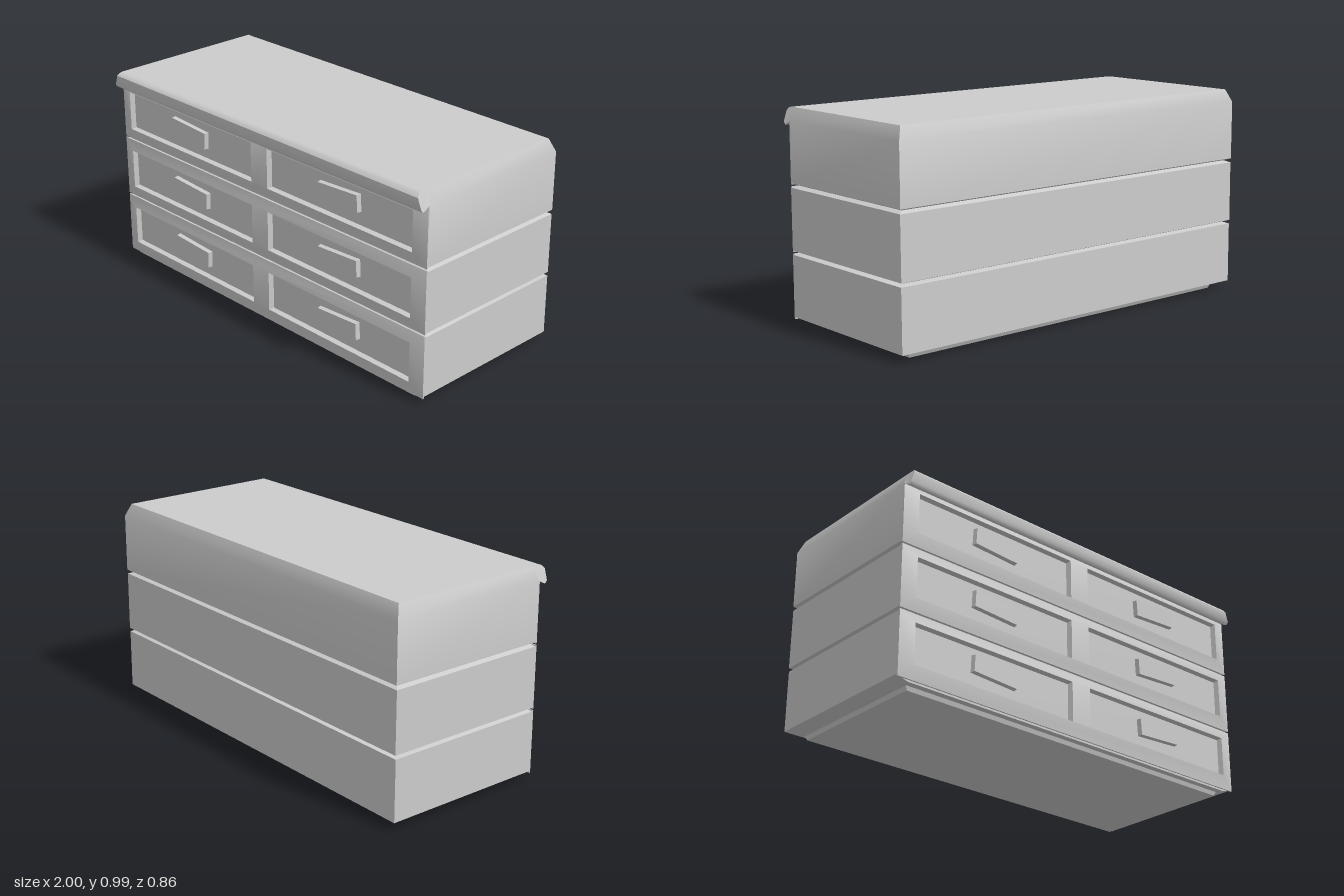
import * as THREE from 'three';
import { toCreasedNormals } from 'three/addons/utils/BufferGeometryUtils.js';

const grey = new THREE.MeshStandardMaterial({ color: 0xcccccc });
grey.name = 'grey';

const BODY_FRONT = 0.377; // plane of the drawer faces
const FRAME_FRONT = 0.4; // edge round each drawer opening
const RIM_FRONT = 0.384; // outer edge of each tier front

function addMesh(parent, name, geometry) {
  const mesh = new THREE.Mesh(geometry, grey);
  mesh.name = name;
  parent.add(mesh);
  return mesh;
}

// Closed stack of rectangular sections: [y, half width, front z, back z]
function loft(sections) {
  const positions = [];
  const rings = sections.map(([y, x, f, b]) => [[x, y, f], [x, y, b], [-x, y, b], [-x, y, f]]);
  const quad = (a, b, c, d) => positions.push(...a, ...b, ...c, ...a, ...c, ...d);
  for (let i = 0; i < rings.length - 1; i++) {
    for (let k = 0; k < 4; k++) {
      const n = (k + 1) % 4;
      quad(rings[i][k], rings[i][n], rings[i + 1][n], rings[i + 1][k]);
    }
  }
  quad(...rings[rings.length - 1]);
  quad(...rings[0].slice().reverse());
  const geometry = new THREE.BufferGeometry();
  geometry.setAttribute('position', new THREE.Float32BufferAttribute(positions, 3));
  return toCreasedNormals(geometry, 0.5);
}

// Apply a rule to every vertex
function reshape(geometry, rule) {
  const p = geometry.attributes.position;
  const v = new THREE.Vector3();
  for (let i = 0; i < p.count; i++) {
    v.fromBufferAttribute(p, i);
    rule(v);
    p.setXYZ(i, v.x, v.y, v.z);
  }
  geometry.computeVertexNormals();
  return geometry;
}

const points = (list) => list.map(([x, y]) => new THREE.Vector2(x, y));

// Tier front with two drawer openings, falling softly from the openings to its rim
function frameGeometry(y0, y1, drawerY) {
  const columns = [-1, -0.93, -0.053, 0.053, 0.93, 1];
  const shape = new THREE.Shape(points([
    ...columns.map((x) => [x, y0]),
    ...columns.slice().reverse().map((x) => [x, y1]),
  ]));
  const top = drawerY + 0.19;
  for (const x of [-0.93, 0.053]) {
    shape.holes.push(new THREE.Path(points([
      [x, drawerY], [x, top], [x + 0.877, top], [x + 0.877, drawerY],
    ])));
  }
  const depth = FRAME_FRONT - BODY_FRONT;
  const geometry = new THREE.ExtrudeGeometry(shape, { depth, bevelEnabled: false });
  reshape(geometry, (v) => {
    const onRim = Math.abs(v.x) > 0.99 || v.y < drawerY - 0.01 || v.y > top + 0.01;
    const atFront = v.z > depth / 2;
    if (onRim && atFront) v.z = RIM_FRONT - BODY_FRONT;
    // Opening walls taper slightly inward
    if (!onRim && !atFront) {
      v.x += 0.008 * Math.sign(Math.sign(v.x) * 0.4915 - v.x);
      v.y += 0.006 * Math.sign(drawerY + 0.095 - v.y);
    }
  });
  return toCreasedNormals(geometry.translate(0, 0, BODY_FRONT), 0.8);
}

// Overhanging lip along the front of the top, narrowing upward
function lipGeometry() {
  const profile = [
    [BODY_FRONT, 0.925], [0.417, 0.905], [0.428, 0.918], [0.43, 0.968],
    [0.417, 0.982], [0.4, 0.985], [BODY_FRONT, 0.985],
  ];
  const shape = new THREE.Shape(points(profile.map(([z, y]) => [-z, y])));
  const lip = new THREE.ExtrudeGeometry(shape, { depth: 2, bevelEnabled: false });
  lip.translate(0, 0, -1).rotateY(Math.PI / 2);
  reshape(lip, (v) => {
    v.x *= 1 - 0.025 * Math.max(0, (v.y - 0.925) / 0.06);
  });
  return toCreasedNormals(lip, 0.75);
}

// Thin pull whose front is a little smaller than its back
function handleGeometry() {
  return reshape(new THREE.BoxGeometry(0.245, 0.083, 0.03).toNonIndexed(), (v) => {
    if (v.z > 0) {
      v.x *= 0.96;
      v.y *= 0.94;
    }
  });
}

export function createModel() {
  const dresser = new THREE.Group();
  dresser.name = 'dresser';

  // Plinth under the carcass
  addMesh(dresser, 'plinth', loft([
    [0, 0.92, 0.34, -0.365],
    [0.025, 0.93, 0.348, -0.378],
  ]));

  // Carcass with a V groove between tiers
  const f = BODY_FRONT;
  addMesh(dresser, 'carcass', loft([
    [0.019, 0.945, f, -0.375],
    [0.037, 1, f, -0.426],
    [0.324, 1, f, -0.424],
    [0.333, 0.975, f - 0.01, -0.4],
    [0.342, 1, f, -0.426],
    [0.628, 1, f, -0.424],
    [0.638, 0.975, f - 0.01, -0.4],
    [0.648, 1, f, -0.426],
    [0.925, 1, f, -0.425],
    [0.985, 0.975, f, -0.4],
  ]));

  addMesh(dresser, 'topLip', lipGeometry());

  // Three tiers, each with a framed pair of drawers and tilted pulls
  const tiers = [[0.028, 0.329, 0.09], [0.337, 0.634, 0.395], [0.642, 0.925, 0.7]];
  const handle = handleGeometry();
  tiers.forEach(([y0, y1, drawerY], i) => {
    const tier = new THREE.Group();
    tier.name = `tier${i + 1}`;
    dresser.add(tier);
    addMesh(tier, 'drawerFrame', frameGeometry(y0, y1, drawerY));
    for (const side of [-1, 1]) {
      const pull = addMesh(tier, side > 0 ? 'leftHandle' : 'rightHandle', handle);
      pull.position.set(side * 0.495, drawerY + 0.103, 0.384);
      pull.rotation.z = side * 0.055;
    }
  });

  return dresser;
}
